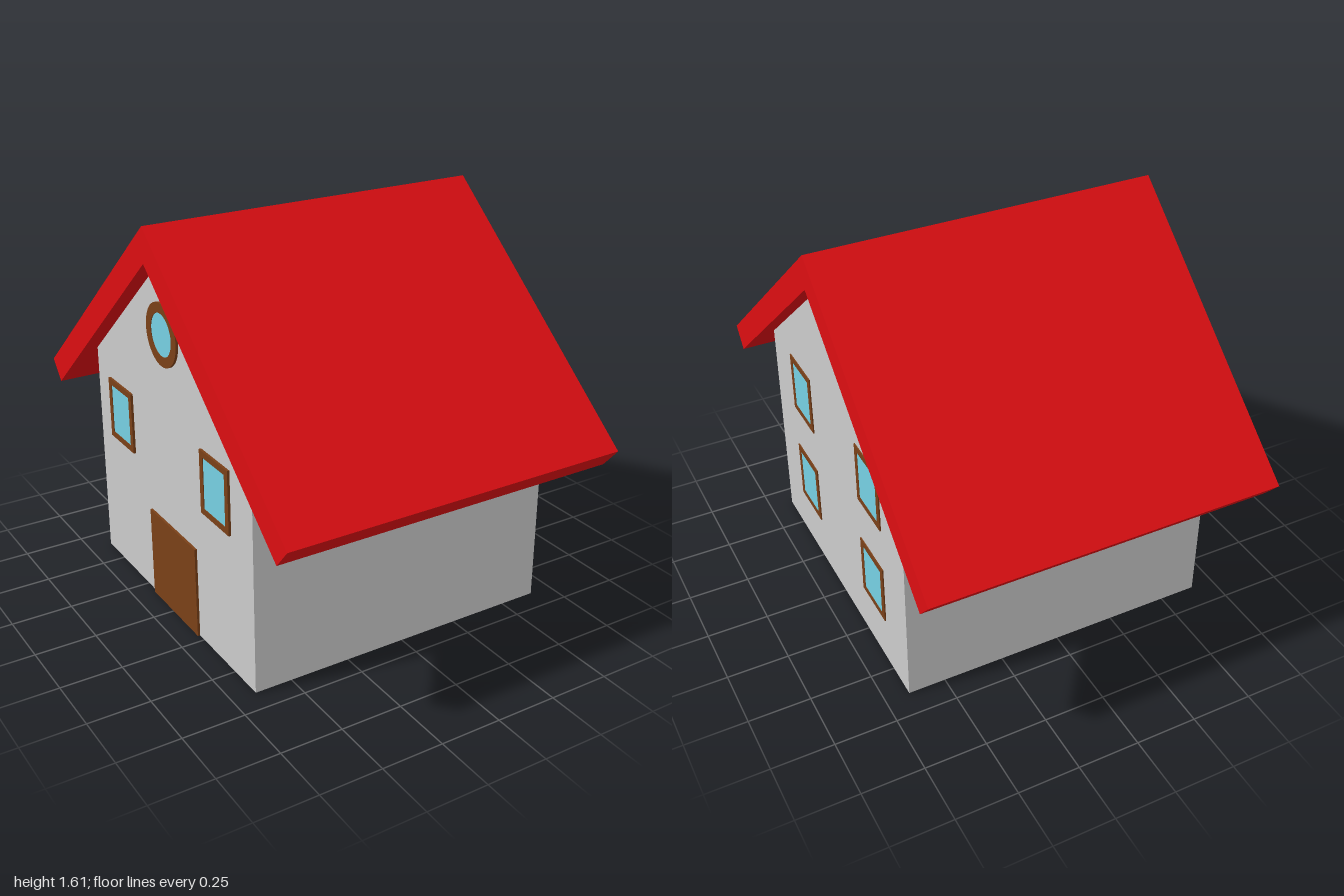
import * as THREE from 'three';

const mat = (color) => new THREE.MeshStandardMaterial({ color });
const wallMat = mat(0xcccccc);
const roofMat = mat(0xdc0e12);
const woodMat = mat(0x7a4018);
const glassMat = mat(0x76d0e3);

function add(parent, name, geometry, material) {
  const mesh = new THREE.Mesh(geometry, material);
  mesh.name = name;
  parent.add(mesh);
  return mesh;
}

// Prism along x from a list of [z, y] outline points
function prism(outline, x0, x1) {
  const shape = new THREE.Shape(outline.map(([z, y]) => new THREE.Vector2(-z, y)));
  const geometry = new THREE.ExtrudeGeometry(shape, { depth: x1 - x0, bevelEnabled: false });
  return geometry.rotateY(Math.PI / 2).translate(x0, 0, 0);
}

function rectangle(w, h) {
  return new THREE.Shape([[-1, -1], [1, -1], [1, 1], [-1, 1]].map(
    ([x, y]) => new THREE.Vector2(x * w / 2, y * h / 2)));
}

const disc = (r) => new THREE.Shape().absarc(0, 0, r, 0, Math.PI * 2);

// Frame with a slightly recessed pane, facing +z, back at z = 0
function makeWindow(name, outer, inner, depth) {
  const group = new THREE.Group();
  group.name = name;
  const pane = new THREE.ExtrudeGeometry(inner, { depth: depth * 0.7, bevelEnabled: false, curveSegments: 32 });
  outer.holes.push(inner);
  const frame = new THREE.ExtrudeGeometry(outer, { depth, bevelEnabled: false, curveSegments: 32 });
  add(group, 'windowFrame', frame, woodMat);
  add(group, 'windowPane', pane, glassMat);
  return group;
}

const squareWindow = (depth) =>
  makeWindow('window', rectangle(0.215, 0.26), rectangle(0.165, 0.21), depth);

// Fix an item on a gable wall: side +1 is the left (+x), -1 the right (-x)
function mount(parent, item, side, y, z) {
  item.rotation.y = side * Math.PI / 2;
  item.position.set(side * 0.652, y, z);
  parent.add(item);
}

export function createModel() {
  const house = new THREE.Group();
  house.name = 'house';

  // Walls with gables
  add(house, 'walls', prism(
    [[0.655, 0], [-0.645, 0], [-0.645, 0.928], [0, 1.47], [0.655, 0.92]], -0.652, 0.652), wallMat);

  // Thick pitched roof
  add(house, 'roof', prism(
    [[1, 0.772], [0.93, 0.69], [0, 1.47], [-0.93, 0.69], [-1, 0.772], [0, 1.61]], -0.717, 0.717), roofMat);

  // Four windows on one gable
  for (const z of [0.343, -0.337]) {
    for (const y of [0.338, 0.792]) mount(house, squareWindow(0.005), 1, y, z);
  }

  // Two windows, a round window and a door on the other gable
  for (const z of [-0.418, 0.388]) mount(house, squareWindow(0.01), -1, 0.707, z);
  mount(house, makeWindow('roundWindow', disc(0.125), disc(0.085), 0.01), -1, 1.187, 0);
  const door = add(house, 'door', new THREE.BoxGeometry(0.388, 0.385, 0.01).translate(0, 0, 0.005), woodMat);
  mount(house, door, -1, 0.1925, 0.019);

  return house;
}
